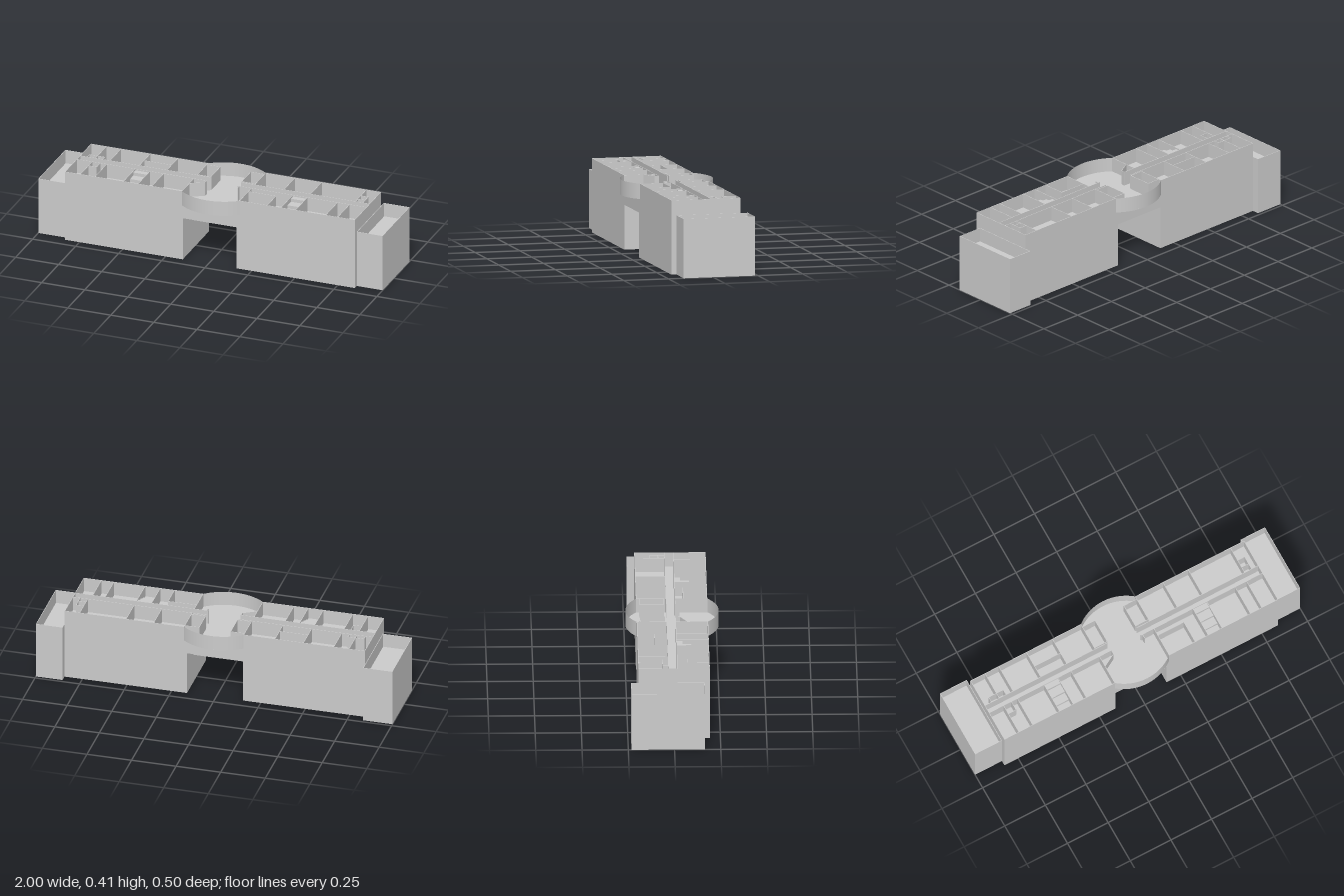
import * as THREE from 'three';

const FLOOR = 0.325, TOP = 0.405, T = 0.003;
const X0 = -0.835, X1 = 0.85, Z0 = -0.193, Z1 = 0.193;   // main block outline
const B0 = -0.155, B1 = 0.18;                            // bow window bay
const C0 = -0.03, C1 = 0.018;                            // corridor walls
const P0 = -0.15, P1 = 0.163;                            // passage under the building

const material = new THREE.MeshStandardMaterial({ color: 0xcccccc, side: THREE.DoubleSide, flatShading: true });
const smooth = new THREE.MeshStandardMaterial({ color: 0xcccccc, side: THREE.DoubleSide });

export function createModel() {
  const model = new THREE.Group();
  model.name = 'building';

  const add = (name, geometry, mat = material, parent = model) => {
    const mesh = new THREE.Mesh(geometry, mat);
    mesh.name = name;
    parent.add(mesh);
    return mesh;
  };
  const box = (name, xa, xb, ya, yb, za, zb, parent = model) =>
    add(name, new THREE.BoxGeometry(xb - xa, yb - ya, zb - za), material, parent)
      .position.set((xa + xb) / 2, (ya + yb) / 2, (za + zb) / 2);
  // Thin upright wall between two plan points
  const wall = (name, xa, za, xb, zb, ya = FLOOR, yb = TOP, parent = model) => {
    const mesh = add(name, new THREE.BoxGeometry(Math.hypot(xb - xa, zb - za), yb - ya, T), material, parent);
    mesh.position.set((xa + xb) / 2, (ya + yb) / 2, (za + zb) / 2);
    mesh.rotation.y = -Math.atan2(zb - za, xb - xa);
  };

  // Lower storeys, split by the passage and joined by a bridge
  box('rightBlock', X0, P0, 0, FLOOR, Z0, Z1);
  box('leftBlock', P1, X1, 0, FLOOR, Z0, Z1);
  box('bridgeSlab', P0, P1, 0.245, FLOOR, Z0, Z1);
  box('bridgeCorridor', P0, P1, 0.165, 0.245, -0.06, 0.035);

  // End wings with a sunken roof inside a thin parapet
  for (const [name, xa, xb] of [['rightWing', -1, X0], ['leftWing', X1, 1]]) {
    const wing = new THREE.Group();
    wing.name = name;
    model.add(wing);
    const za = -0.233, zb = 0.165, h = T / 2;
    box('wingBody', xa, xb, 0, 0.245, za, zb, wing);
    for (const z of [za + h, zb - h]) wall('parapet', xa, z, xb, z, 0.245, 0.323, wing);
    for (const x of [xa + h, xb - h]) wall('parapet', x, za, x, zb, 0.245, 0.323, wing);
  }

  // Outer walls of the open top storey
  for (const z of [Z0 + T / 2, Z1 - T / 2]) {
    wall('outerWall', X0, z, B0, z);
    wall('outerWall', B1, z, X1, z);
  }
  for (const x of [X0 + T / 2, X1 - T / 2]) wall('endWall', x, Z0, x, Z1);

  // Corridor walls, open at the central hall
  wall('corridorWall', X0, C0, -0.08, C0);
  wall('corridorWall', 0.1, C0, X1, C0);
  wall('corridorWall', X0, C1, -0.08, C1);
  wall('corridorWall', 0.1, C1, X1, C1);

  // Room partitions
  for (const x of [-0.745, -0.66, -0.49, -0.33, B0, B1, 0.35, 0.505, 0.765])
    wall('backPartition', x, Z0, x, C0);
  for (const x of [-0.745, -0.66, -0.495, -0.41, -0.33, B0, B1, 0.42, 0.505, 0.68, 0.75])
    wall('frontPartition', x, C1, x, Z1);

  // Closets and small enclosures
  wall('closetWall', -0.49, -0.1, -0.33, -0.1);
  wall('closetWall', B1, 0.063, 0.34, 0.063);
  wall('closetWall', 0.34, 0.063, 0.34, Z1);
  wall('hallScreen', B0, 0.083, -0.083, 0.042);
  wall('hallScreen', -0.083, 0.042, -0.08, C1);
  wall('hallStub', 0.11, C1, 0.11, 0.042);
  const booth = (xa, xb, za, zb) => {
    wall('boothWall', xa, za, xb, za);
    wall('boothWall', xa, zb, xb, zb);
    wall('boothWall', xa, za, xa, zb);
    wall('boothWall', xb, za, xb, zb);
  };
  booth(B0, -0.077, -0.175, -0.038);
  booth(0.1, B1, -0.175, -0.043);
  booth(-0.793, -0.703, -0.062, C0);
  booth(-0.745, -0.697, C1, 0.072);
  booth(0.765, 0.808, -0.11, -0.065);
  booth(0.765, 0.808, -0.065, C0);

  // Stairs rising towards the corridor
  for (const [xa, xb] of [[-0.495, -0.41], [0.42, 0.505]]) {
    const edges = [C1, 0.05, 0.098, 0.142, Z1 - T];
    for (let i = 0; i < 4; i++)
      box('stairStep', xa, xb, FLOOR, FLOOR + 0.018 * (4 - i), edges[i], edges[i + 1]);
  }

  // Curved bow bays at front and back: curved wall plus floor
  const R = 0.264, half = Math.asin((B1 - B0) / 2 / R);
  const segment = new THREE.Shape().absarc(0, 0, R, Math.PI / 2 - half, Math.PI / 2 + half, false);
  segment.closePath();
  for (const [name, turn] of [['frontBow', 0], ['backBow', Math.PI]]) {
    const bow = new THREE.Group();
    bow.name = name;
    const curved = add('bowWall',
      new THREE.CylinderGeometry(R, R, TOP - 0.321, 24, 1, true, -half, 2 * half), smooth, bow);
    curved.position.y = (TOP + 0.321) / 2;
    const floor = add('bowFloor',
      new THREE.ExtrudeGeometry(segment, { depth: 0.004, bevelEnabled: false, curveSegments: 24 }), material, bow);
    floor.rotation.x = Math.PI / 2;
    floor.position.y = FLOOR;
    bow.rotation.y = turn;
    bow.position.set((B0 + B1) / 2, 0, turn ? 0.012 : -0.012);
    model.add(bow);
  }
  return model;
}
